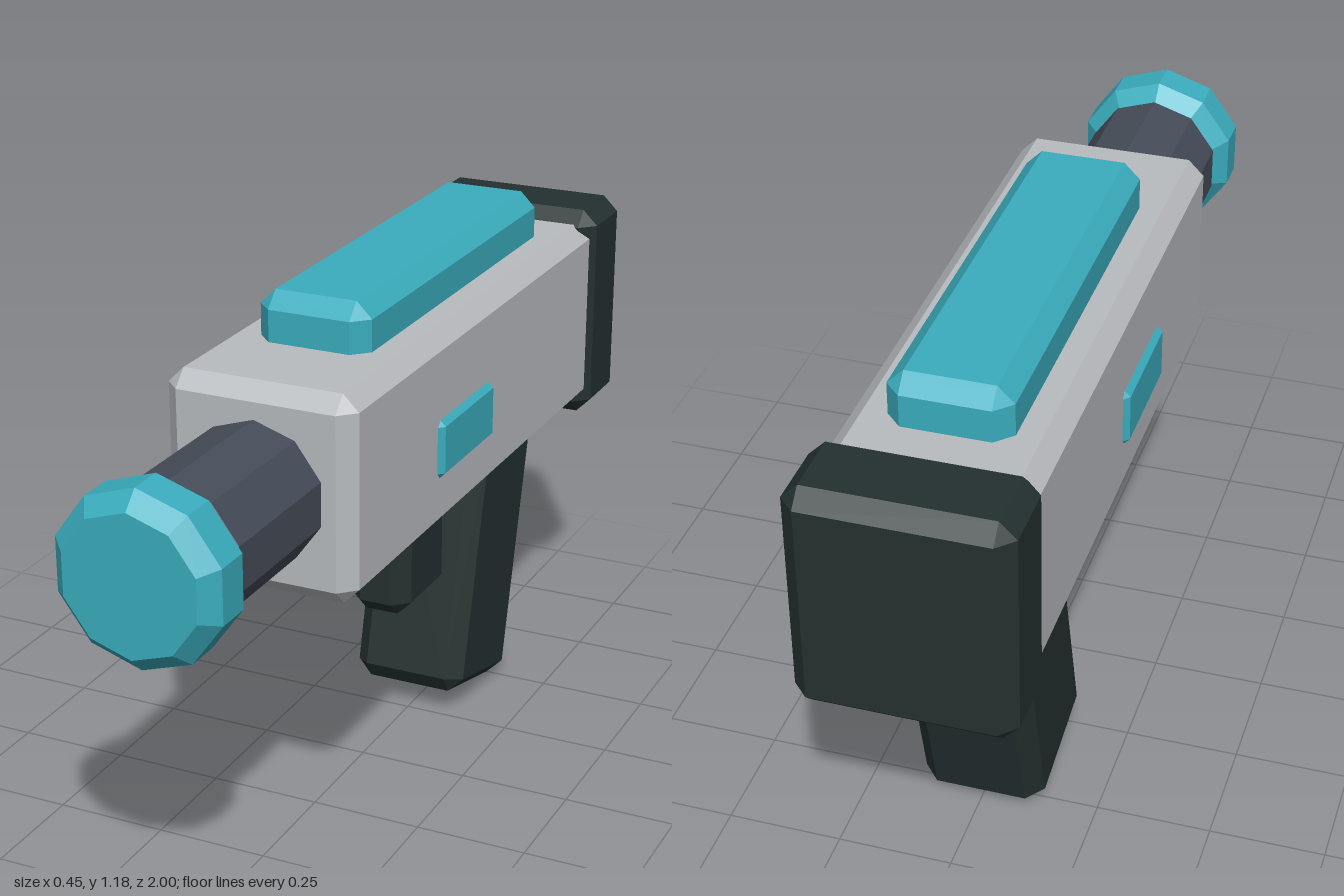
import * as THREE from 'three';
import { ConvexGeometry } from 'three/addons/geometries/ConvexGeometry.js';

// Box with flat bevels, given by its extents on each axis
function bevelBox(w, h, d, c) {
  const pts = [];
  for (const sx of [-1, 1]) for (const sy of [-1, 1]) for (const sz of [-1, 1]) {
    const [x, y, z] = [w / 2, h / 2, d / 2];
    pts.push(
      new THREE.Vector3(sx * x, sy * (y - c), sz * (z - c)),
      new THREE.Vector3(sx * (x - c), sy * y, sz * (z - c)),
      new THREE.Vector3(sx * (x - c), sy * (y - c), sz * z)
    );
  }
  return new ConvexGeometry(pts);
}

// Ten-sided bar along z with bevelled ends
function bevelRod(radius, length, c) {
  const h = length / 2;
  const profile = [[0, -h], [radius - c, -h], [radius, -h + c], [radius, h - c], [radius - c, h], [0, h]];
  const geo = new THREE.LatheGeometry(profile.map(([r, y]) => new THREE.Vector2(r, y)), 10);
  return geo.rotateX(Math.PI / 2);
}

export function createModel() {
  const group = new THREE.Group();
  const material = (name, color) => {
    const m = new THREE.MeshStandardMaterial({ color, flatShading: true });
    m.name = name;
    return m;
  };
  const grey = material('light grey', 0xb9bcc0);
  const dark = material('dark green black', 0x243130);
  const slate = material('slate', 0x464d59);
  const teal = material('teal', 0x3aadbe);

  const add = (name, geo, mat, x, y, z) => {
    const mesh = new THREE.Mesh(geo, mat);
    mesh.name = name;
    mesh.position.set(x, y, z);
    group.add(mesh);
    return mesh;
  };

  // Body and rear block
  add('body', bevelBox(0.424, 0.45, 1.36, 0.035), grey, 0, 0.85, -0.18);
  add('stock', bevelBox(0.45, 0.51, 0.21, 0.035), dark, 0, 0.85, -0.895);

  // Top rail, sunk slightly into the body
  add('topRail', bevelBox(0.254, 0.17, 0.96, 0.035), teal, 0, 1.095, -0.22);

  // Side panels
  for (const [name, s] of [['leftPanel', 1], ['rightPanel', -1]]) {
    add(name, bevelBox(0.06, 0.13, 0.285, 0.012), teal, s * 0.195, 0.82, -0.0625);
  }

  // Barrel and muzzle
  add('barrel', bevelRod(0.155, 0.36, 0.01), slate, 0, 0.85, 0.675);
  add('muzzle', bevelRod(0.185, 0.15, 0.036), teal, 0, 0.85, 0.925);

  // Trigger block and slanted grip
  add('trigger', bevelBox(0.148, 0.36, 0.24, 0.035), dark, 0, 0.505, -0.185);
  const grip = add('grip', bevelBox(0.27, 0.657, 0.322, 0.035), dark, 0, 0.354, -0.459);
  grip.rotation.x = THREE.MathUtils.degToRad(-14);

  return group;
}
